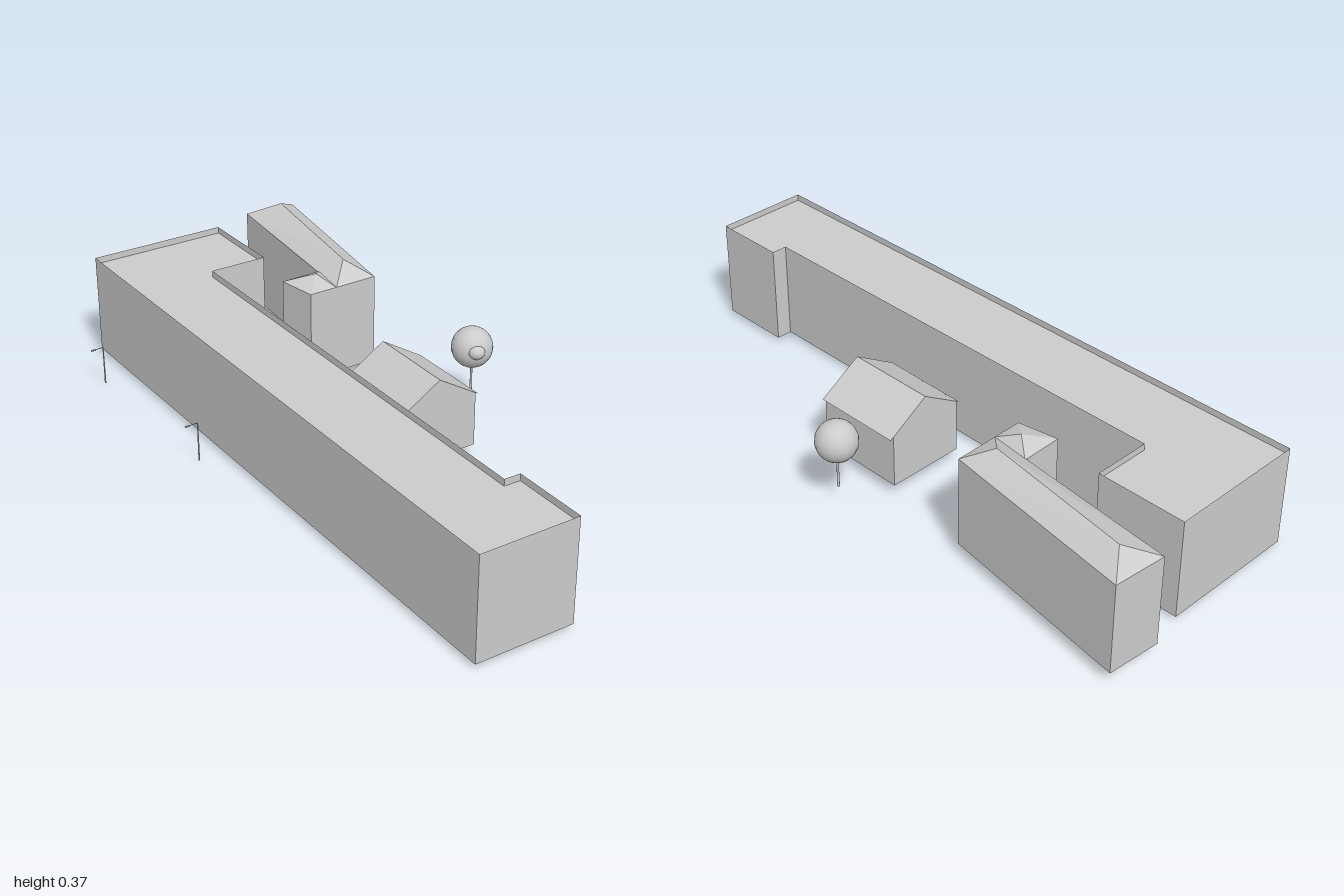
import * as THREE from 'three';

const grey = new THREE.MeshStandardMaterial({ color: 0xcccccc, side: THREE.DoubleSide, flatShading: true });
const smooth = new THREE.MeshStandardMaterial({ color: 0xcccccc });

function add(parent, name, geometry, material = grey) {
  const mesh = new THREE.Mesh(geometry, material);
  mesh.name = name;
  parent.add(mesh);
  return mesh;
}

function group(parent, name) {
  const g = new THREE.Group();
  g.name = name;
  parent.add(g);
  return g;
}

// Flat polygons given as corner loops, each split into a fan of triangles
function faces(polygons) {
  const pos = [];
  for (const p of polygons)
    for (let i = 1; i < p.length - 1; i++) pos.push(...p[0], ...p[i], ...p[i + 1]);
  const g = new THREE.BufferGeometry();
  g.setAttribute('position', new THREE.Float32BufferAttribute(pos, 3));
  g.computeVertexNormals();
  return g;
}

// Open shell of upright walls on a footprint of [x, z] points, clockwise from above
function walls(plan, y0, y1) {
  return faces(plan.map(([ax, az], i) => {
    const [bx, bz] = plan[(i + 1) % plan.length];
    return [[bx, y0, bz], [ax, y0, az], [ax, y1, az], [bx, y1, bz]];
  }));
}

function flatRoof(plan, y) {
  const shape = new THREE.Shape(plan.map(([x, z]) => new THREE.Vector2(x, -z)));
  return new THREE.ShapeGeometry(shape).rotateX(-Math.PI / 2).translate(0, y, 0);
}

const at = ([x, z], y) => [x, y, z];
const mix = (a, b, t) => [a[0] + (b[0] - a[0]) * t, a[1] + (b[1] - a[1]) * t];

// Long flat-roofed block with a low parapet
function longBuilding(root) {
  const g = group(root, 'longBuilding');
  const plan = [[-0.037, -1], [0.383, -0.857], [0.29, -0.585], [0.115, -0.645],
    [-0.37, 0.755], [-0.323, 0.772], [-0.4, 0.995], [-0.687, 0.895]];
  add(g, 'longBuildingWalls', walls(plan, 0.015, 0.333));
  add(g, 'longBuildingRoof', flatRoof(plan, 0.312));
}

// Small house with a gable roof that overhangs the side walls
function gableHouse(root) {
  const g = group(root, 'gableHouse');
  const eave = 0.205, peak = 0.29, inset = 0.04, y0 = 0.042;
  const [a, b, c, d] = [[-0.008, -0.033], [0.25, 0.054], [0.156, 0.326], [-0.104, 0.236]];
  const plan = [mix(a, b, inset), mix(b, a, inset), mix(c, d, inset), mix(d, c, inset)];
  const r0 = at(mix(a, b, 0.5), peak), r1 = at(mix(c, d, 0.5), peak);
  const top = eave + (peak - eave) * inset * 2;
  add(g, 'houseWalls', walls(plan, y0, top));
  add(g, 'houseGables', faces([
    [at(plan[1], top), at(plan[0], top), r0],
    [at(plan[3], top), at(plan[2], top), r1],
  ]));
  add(g, 'houseRoof', faces([
    [at(c, eave), at(b, eave), r0, r1],
    [at(a, eave), at(d, eave), r1, r0],
  ]));
}

// L-shaped building: hipped main wing and a short wing under a pyramid roof
function hippedBuilding(root) {
  const g = group(root, 'hippedBuilding');
  const eave = 0.33;
  const back = [0.53, -0.86], backLeft = [0.685, -0.793], front = [0.394, -0.227];
  const inner = [0.32, -0.387], wingBack = [0.193, -0.427], wingFront = [0.172, -0.3];
  const joint = mix(wingFront, front, 0.4);
  add(g, 'hippedBuildingWalls', walls([back, backLeft, front, wingFront, wingBack, inner], 0.042, eave));

  const [a, b, c, d] = [back, backLeft, front, joint].map(p => at(p, eave));
  const r0 = [0.587, 0.374, -0.76], r1 = [0.36, 0.374, -0.323];
  add(g, 'mainWingRoof', faces([[b, a, r0], [c, b, r0, r1], [d, c, r1], [a, d, r1, r0]]));

  const ring = [wingBack, inner, joint, wingFront].map(p => at(p, eave));
  const apex = [0.253, 0.358, -0.345];
  add(g, 'shortWingRoof', faces(ring.map((p, i) => [ring[(i + 1) % 4], p, apex])));
}

// Round tree with a small leaf clump on its front
function tree(root) {
  const g = group(root, 'tree');
  g.position.set(0.347, 0, 0.172);
  add(g, 'trunk', new THREE.CylinderGeometry(0.003, 0.004, 0.12, 8), smooth).position.y = 0.133;
  add(g, 'crown', new THREE.SphereGeometry(0.063, 20, 14), smooth).position.y = 0.231;
  const clump = add(g, 'leafClump', new THREE.SphereGeometry(0.026, 14, 10), smooth);
  clump.scale.y = 0.85;
  clump.position.set(-0.033, 0.238, 0.038);
}

// Street lamp with a thin pole and an arm reaching towards the street
function streetLamp(root, x, z) {
  const g = group(root, 'streetLamp');
  g.position.set(x, 0, z);
  g.rotation.y = -0.33;
  add(g, 'lampPole', new THREE.CylinderGeometry(0.0018, 0.0025, 0.125, 8), smooth).position.y = 0.0625;
  const arm = add(g, 'lampArm', new THREE.CylinderGeometry(0.0012, 0.0012, 0.03, 6), smooth);
  arm.rotation.z = Math.PI / 2;
  arm.position.set(-0.015, 0.124, 0);
  add(g, 'lampHead', new THREE.BoxGeometry(0.014, 0.003, 0.006), smooth).position.set(-0.033, 0.123, 0);
}

export function createModel() {
  const root = new THREE.Group();
  root.name = 'buildingGroup';
  longBuilding(root);
  gableHouse(root);
  hippedBuilding(root);
  tree(root);
  for (const [x, z] of [[-0.355, -0.295], [-0.18, -0.845]]) streetLamp(root, x, z);
  return root;
}
